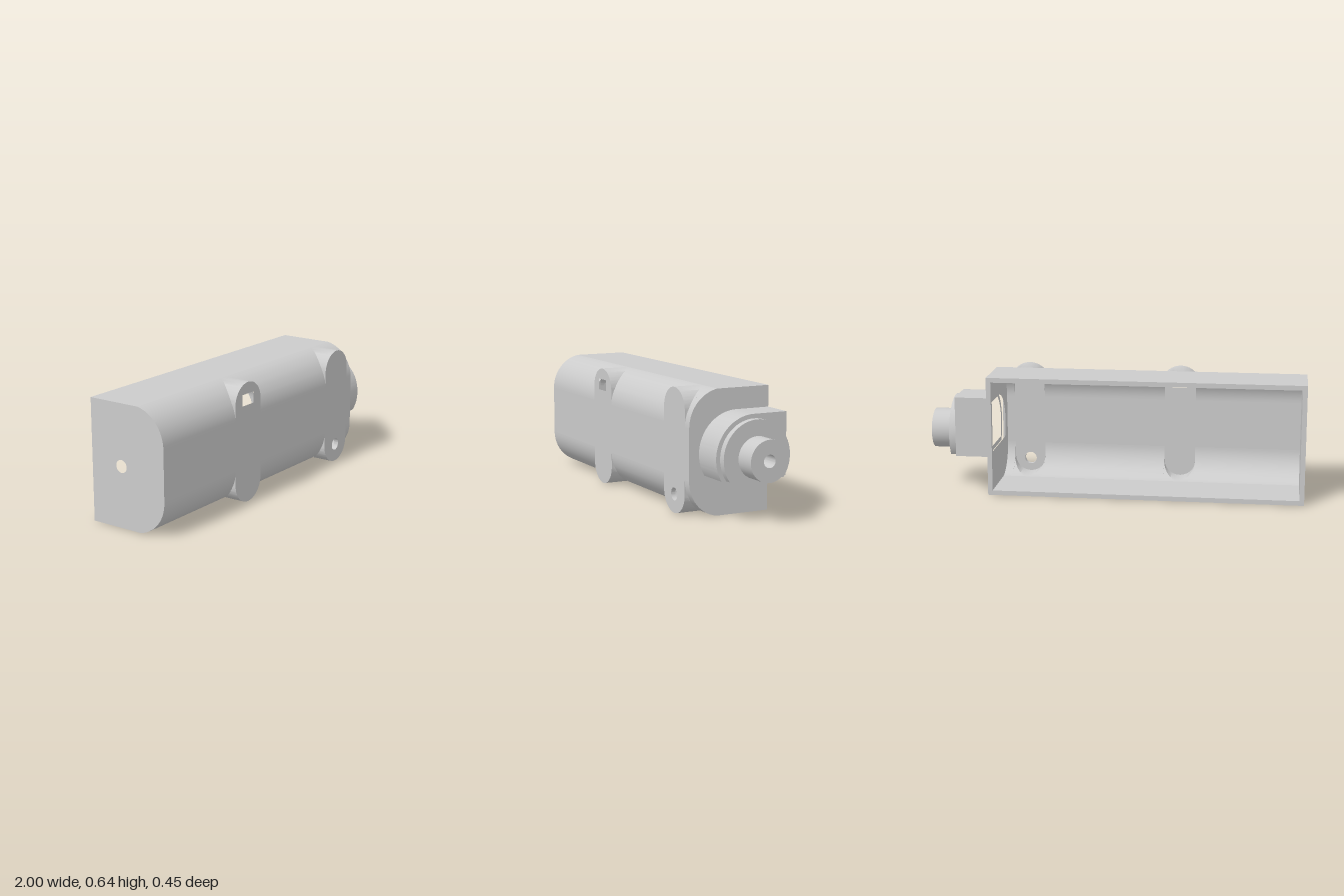
import * as THREE from 'three';
import { toCreasedNormals } from 'three/addons/utils/BufferGeometryUtils.js';

const T = 0.025;                        // wall thickness
const H = 0.64, X0 = -1, X1 = 0.68;     // body height and ends
const BACK = -0.225, FRONT = 0.227;
const C = 0.187, R = 0.19, ZC = FRONT - R;  // rounded front corners
const Z_EDGE = ZC + Math.sqrt(R * R - C * C);
const BOSS_R = 0.11, BOSS_X = [-0.315, 0.525];
const AXIS_Z = -0.038, AXIS_Y = 0.32, BORE = 0.033;

const material = new THREE.MeshStandardMaterial({ color: 0xcccccc });

function add(group, name, geometry) {
  const mesh = new THREE.Mesh(toCreasedNormals(geometry, 0.6), material);
  mesh.name = name;
  group.add(mesh);
  return mesh;
}

function box(x0, x1, y0, y1, z0, z1) {
  return new THREE.BoxGeometry(x1 - x0, y1 - y0, z1 - z0)
    .translate((x0 + x1) / 2, (y0 + y1) / 2, (z0 + z1) / 2);
}

// Extrudes a section drawn in (-z, y) along x
function alongX(shape, x0, x1) {
  return new THREE.ExtrudeGeometry(shape, { depth: x1 - x0, bevelEnabled: false, curveSegments: 24 })
    .rotateY(Math.PI / 2).translate(x0, 0, 0);
}

function circlePath(x, y, r) {
  return new THREE.Path().absarc(x, y, r, 0, Math.PI * 2, true);
}
const bore = () => circlePath(-AXIS_Z, AXIS_Y, BORE);

// Body section with two rounded front corners
function bodySection() {
  const a0 = Math.asin(C / R), low = [];
  for (let i = 0; i <= 20; i++) {
    const a = a0 * (1 - i / 20);
    low.push(new THREE.Vector2(-ZC - R * Math.cos(a), C - R * Math.sin(a)));
  }
  const high = low.map(p => new THREE.Vector2(p.x, H - p.y)).reverse();
  return new THREE.Shape([new THREE.Vector2(-BACK, 0), ...low, ...high, new THREE.Vector2(-BACK, H)]);
}

// Round-fronted housing section, cut flat below and behind
function housingSection(inset, Kind) {
  const r = 0.21 - inset, drop = 0.11 - inset, u = -AXIS_Z, back = -BACK - inset;
  const s = new Kind();
  s.moveTo(back, AXIS_Y - drop);
  s.absarc(u, AXIS_Y, r, Math.PI + Math.asin(drop / r), Math.PI / 2, true);
  s.lineTo(back, AXIS_Y + r);
  s.lineTo(back, AXIS_Y - drop);
  return s;
}

// Rounded corner skin along x, interrupted by the walls of the bosses.
// inset = 0 is the outside, inset = T the inside.
function cornerSkin(inset, top) {
  const r = R - inset, br = BOSS_R - inset, zf = FRONT - inset, N = 20;
  const stations = [[X0 + inset, C]];
  for (const bx of BOSS_X) {
    stations.push([bx - br, C]);
    for (let i = 0; i <= 48; i++) {
      const a = Math.PI * i / 48;
      stations.push([bx - br * Math.cos(a), BOSS_R - br * Math.sin(a)]);
    }
    stations.push([bx + br, C]);
  }
  stations.push([X1 - inset, C]);

  const columns = stations.map(([x, yEnd]) => {
    const a0 = Math.asin((C - inset) / r), a1 = Math.asin((C - yEnd) / r), pts = [];
    for (let j = 0; j <= N; j++) {
      const a = a0 + (a1 - a0) * j / N;
      pts.push(new THREE.Vector3(x, C - r * Math.sin(a), ZC + r * Math.cos(a)));
    }
    pts.push(new THREE.Vector3(x, yEnd, zf));
    if (top) pts.forEach(p => { p.y = H - p.y; });
    return pts;
  });

  const flip = (inset > 0) !== top, out = [];
  const tri = (a, b, c) => {
    if (new THREE.Triangle(a, b, c).getArea() < 1e-9) return;
    for (const p of flip ? [a, c, b] : [a, b, c]) out.push(p.x, p.y, p.z);
  };
  for (let i = 0; i < columns.length - 1; i++) {
    const p = columns[i], q = columns[i + 1];
    for (let j = 0; j <= N; j++) {
      tri(p[j], q[j], q[j + 1]);
      tri(p[j], q[j + 1], p[j + 1]);
    }
  }
  const g = new THREE.BufferGeometry();
  g.setAttribute('position', new THREE.Float32BufferAttribute(out, 3));
  return g;
}

// Flat front of a boss, round at its outer end
function bossPlate(bx, top, hole) {
  const pts = [new THREE.Vector2(bx - BOSS_R, C)];
  for (let i = 0; i <= 48; i++) {
    const a = Math.PI * i / 48;
    pts.push(new THREE.Vector2(bx - BOSS_R * Math.cos(a), BOSS_R - BOSS_R * Math.sin(a)));
  }
  pts.push(new THREE.Vector2(bx + BOSS_R, C));
  if (top) pts.forEach(p => { p.y = H - p.y; });
  const s = new THREE.Shape(pts);
  if (hole) s.holes.push(hole);
  return new THREE.ExtrudeGeometry(s, { depth: T, bevelEnabled: false, curveSegments: 16 })
    .translate(0, 0, FRONT - T);
}

export function createModel() {
  const model = new THREE.Group();
  model.name = 'housing';

  // Open-backed body
  const body = new THREE.Group();
  body.name = 'body';
  model.add(body);
  add(body, 'frontWall', box(X0, X1, C, H - C, FRONT - T, FRONT));
  add(body, 'bottomWall', box(X0, X1, 0, T, BACK, Z_EDGE));
  add(body, 'topWall', box(X0, X1, H - T, H, BACK, Z_EDGE));
  for (const top of [false, true]) {
    const side = top ? 'top' : 'bottom';
    add(body, side + 'CornerOutside', cornerSkin(0, top));
    add(body, side + 'CornerInside', cornerSkin(T, top));
  }

  // End walls: a small bore at one end, the housing opening at the other
  const rightEnd = bodySection();
  rightEnd.holes.push(bore());
  add(body, 'rightEndWall', alongX(rightEnd, X0, X0 + T));
  const leftEnd = bodySection();
  leftEnd.holes.push(housingSection(T, THREE.Path));
  add(body, 'leftEndWall', alongX(leftEnd, X1 - T, X1));

  // Boss fronts, one with a slot and one with a round hole
  const slot = new THREE.Path([[-0.365, 0.52], [-0.365, 0.58], [-0.27, 0.58], [-0.27, 0.52]]
    .map(([x, y]) => new THREE.Vector2(x, y)));
  add(body, 'slottedBoss', bossPlate(BOSS_X[0], true, slot));
  add(body, 'lowerRightBoss', bossPlate(BOSS_X[0], false));
  add(body, 'upperLeftBoss', bossPlate(BOSS_X[1], true));
  add(body, 'drilledBoss', bossPlate(BOSS_X[1], false, circlePath(BOSS_X[1], 0.097, BORE)));

  // Hollow end housing and its cap
  const nozzle = new THREE.Group();
  nozzle.name = 'nozzle';
  model.add(nozzle);
  const shell = housingSection(0, THREE.Shape);
  shell.holes.push(housingSection(T, THREE.Path));
  add(nozzle, 'endHousing', alongX(shell, X1, 0.825));
  const cap = housingSection(0, THREE.Shape);
  cap.holes.push(bore());
  add(nozzle, 'endHousingCap', alongX(cap, 0.825, 0.85));

  // Collar with a flat underside
  const dip = Math.asin(0.11 / 0.188);
  const collar = new THREE.Shape();
  collar.absarc(-AXIS_Z, AXIS_Y, 0.188, Math.PI + dip, -dip, true);
  collar.holes.push(bore());
  add(nozzle, 'collar', alongX(collar, 0.85, 0.885));

  // Bored spigot
  const spigot = new THREE.Shape();
  spigot.absarc(-AXIS_Z, AXIS_Y, 0.106, 0, Math.PI * 2, false);
  spigot.holes.push(bore());
  add(nozzle, 'spigot', alongX(spigot, 0.885, 1));

  return model;
}
